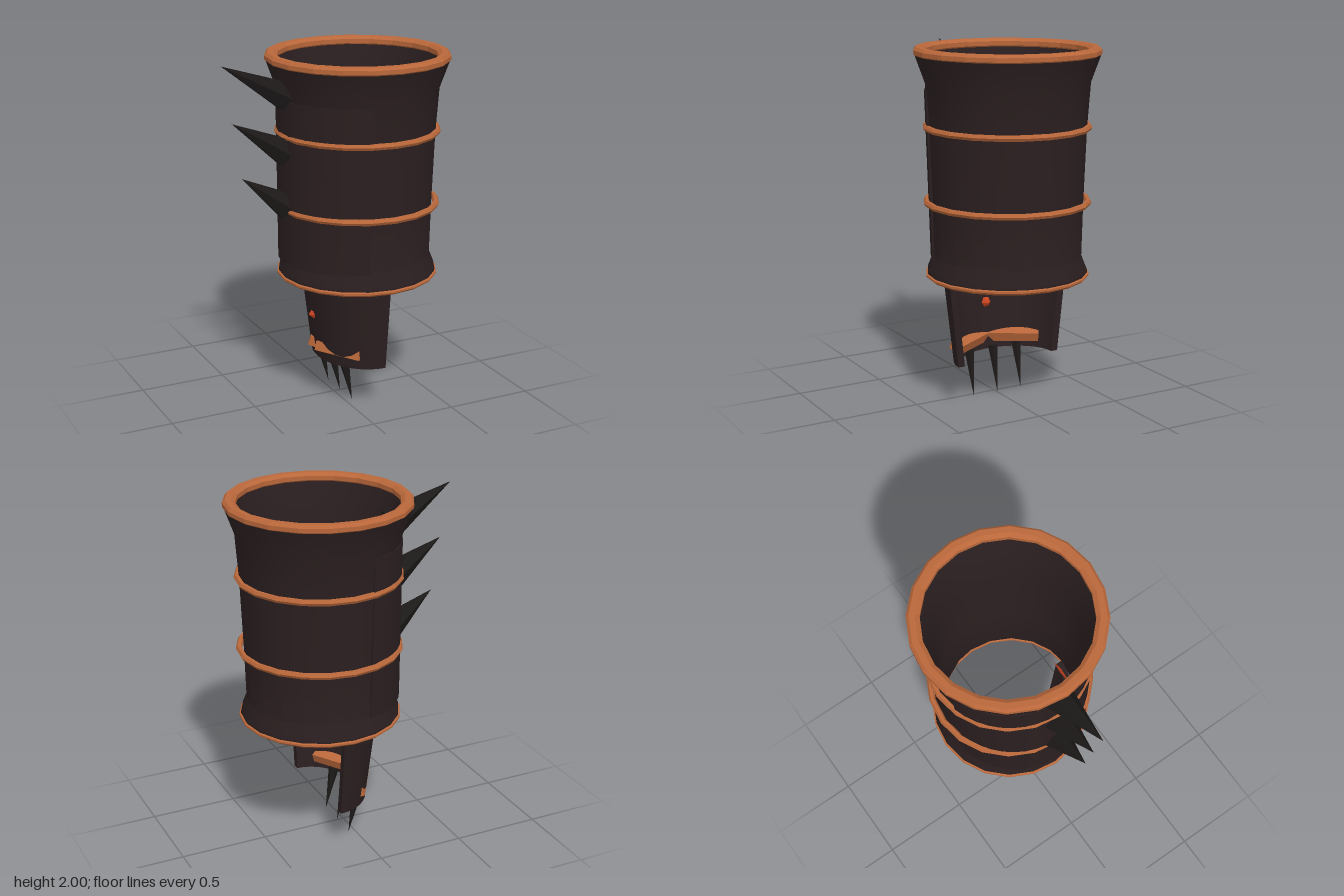
import * as THREE from 'three';
import { toCreasedNormals } from 'three/addons/utils/BufferGeometryUtils.js';

const CX = 0.145; // axis of the cuff
const SIDES = 20;

const mat = (color, flat = false) =>
  new THREE.MeshStandardMaterial({ color, flatShading: flat });
const leather = mat(0x2b1f20);
const horn = mat(0x1d1919, true);
const copper = mat(0xb9673a, true);
const red = mat(0xc8431f, true);

function add(parent, name, geometry, material) {
  const mesh = new THREE.Mesh(geometry, material);
  mesh.name = name;
  parent.add(mesh);
  return mesh;
}

// Closed (radius, height) profile turned about the cuff axis
function turned(points) {
  const pts = [...points, points[0]].map(([r, y]) => new THREE.Vector2(r, y));
  return toCreasedNormals(new THREE.LatheGeometry(pts, SIDES), 0.5).translate(CX, 0, 0);
}

// Curved slab facing -x: a box bent over an elliptical arc
// radii(y) gives [rx, rz] of the outer face
function bentSlab(y0, y1, halfAngle, thickness, cx, radii) {
  const g = new THREE.BoxGeometry(1, 1, 1, 18, 6, 1);
  const p = g.attributes.position;
  for (let i = 0; i < p.count; i++) {
    const a = p.getX(i) * 2 * halfAngle;
    const y = THREE.MathUtils.lerp(y0, y1, p.getY(i) + 0.5);
    const inset = (0.5 - p.getZ(i)) * thickness;
    const [rx, rz] = radii(y);
    p.setXYZ(i, cx - (rx - inset) * Math.cos(a), y, (rz - inset) * Math.sin(a));
  }
  g.computeVertexNormals();
  return g;
}

// Cone from a base centre to a tip
function spike(parent, name, base, tip, radius) {
  const a = new THREE.Vector3(...base), b = new THREE.Vector3(...tip);
  const dir = b.clone().sub(a);
  const mesh = add(parent, name, new THREE.ConeGeometry(radius, dir.length(), 6), horn);
  mesh.position.copy(a).add(b).multiplyScalar(0.5);
  mesh.quaternion.setFromUnitVectors(new THREE.Vector3(0, 1, 0), dir.normalize());
}

export function createModel() {
  const group = new THREE.Group();
  group.name = 'spikedBracer';

  // Hollow cuff, flared at both ends
  const outer = [[0.445, 0.74], [0.447, 0.765], [0.413, 0.85], [0.42, 1.15],
    [0.435, 1.56], [0.453, 1.81], [0.505, 1.955]];
  const inner = [[0.455, 1.965], [0.41, 1.81], [0.392, 1.56], [0.378, 1.15],
    [0.37, 0.85], [0.402, 0.755], [0.402, 0.74]];
  add(group, 'cuff', turned([...outer, ...inner]), leather);

  // Copper rims at the top and bottom
  add(group, 'topRim', turned([[0.495, 1.95], [0.513, 1.962], [0.513, 1.985], [0.498, 2],
    [0.465, 2], [0.443, 1.985], [0.443, 1.96], [0.455, 1.95]]), copper);
  add(group, 'bottomRim', turned([[0.44, 0.725], [0.456, 0.738], [0.456, 0.748], [0.44, 0.755],
    [0.41, 0.755], [0.395, 0.745], [0.395, 0.735], [0.41, 0.725]]), copper);

  // Two bands round the cuff
  for (const y of [1.15, 1.565]) {
    const band = add(group, 'band', new THREE.TorusGeometry(0.447, 0.018, 6, SIDES), copper);
    band.rotation.x = Math.PI / 2;
    band.position.set(CX, y, 0);
  }

  // Raised panel that carries the spikes
  add(group, 'spikePanel', bentSlab(0.84, 1.765, 1.3, 0.04, CX,
    y => [0.453, 0.418 + (y - 0.84) * 0.038]), leather);

  // Spikes on the outer side
  spike(group, 'upperSpike', [-0.287, 1.785, 0], [-0.66, 1.98, 0], 0.086);
  spike(group, 'middleSpike', [-0.292, 1.475, 0], [-0.605, 1.665, 0], 0.084);
  spike(group, 'lowerSpike', [-0.288, 1.17, 0], [-0.555, 1.357, 0], 0.08);

  // Tapered hand guard hanging below the cuff
  add(group, 'handGuard', bentSlab(0.24, 0.8, Math.PI / 2, 0.04, 0.167, y => {
    const t = (y - 0.24) / 0.49;
    return [0.268 + 0.062 * t, 0.322 + 0.053 * t];
  }), leather);

  // Knuckle bars set in a V inside the guard, and claws under them
  for (const s of [-1, 1]) {
    const bar = add(group, 'knuckleBar', new THREE.BoxGeometry(0.08, 0.055, 0.29), copper);
    bar.rotation.order = 'YXZ';
    bar.rotation.set(0, s * Math.atan2(0.15, 0.25), -0.33);
    bar.position.set(-0.03, 0.316, s * 0.145);
  }
  for (const z of [-0.155, 0, 0.155])
    spike(group, 'claw', [-0.015, 0.27, z], [0.04, 0.003, z], 0.031);

  // Gem through the guard, and a flat one on the inner wall of the cuff
  const gem = add(group, 'gem', new THREE.SphereGeometry(0.048, 6, 2), red);
  gem.rotation.set(Math.PI / 2, 0, Math.PI / 2);
  gem.position.set(-0.112, 0.507, 0);
  const flatGem = add(group, 'flatGem', new THREE.SphereGeometry(1, 6, 2), red);
  flatGem.scale.set(0.075, 0.04, 0.006);
  flatGem.position.set(0.105, 0.82, 0.335);

  return group;
}
